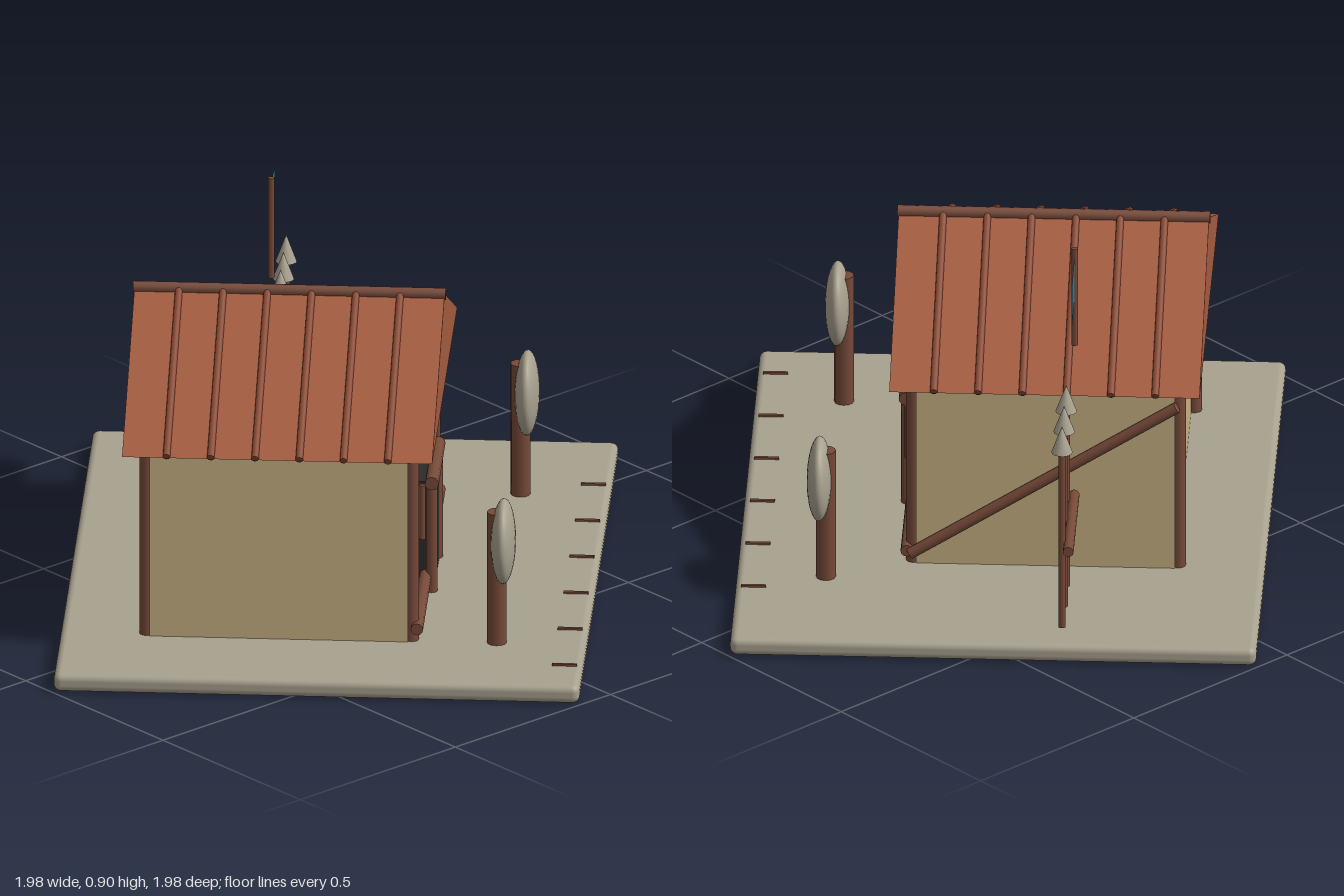
import * as THREE from 'three';
import { RoundedBoxGeometry } from 'three/addons/geometries/RoundedBoxGeometry.js';

export function createModel() {
  const mat = (name, color, extra = {}) => {
    const m = new THREE.MeshStandardMaterial({ color, ...extra });
    m.name = name;
    return m;
  };
  const stone = mat('stone', 0xa8a18f);
  const plaster = mat('plaster', 0xc8b183);
  const wood = mat('wood', 0x774a39);
  const tile = mat('roof tile', 0xa35a3e);
  const batten = mat('roof batten', 0x8a4a34);
  const dark = mat('dark opening', 0x2b2b2b);
  const cloth = mat('flag cloth', 0x35758a, { side: THREE.DoubleSide });

  const model = new THREE.Group();
  model.name = 'cottage';
  // The whole plot is turned an eighth of a circle
  const plot = new THREE.Group();
  plot.name = 'plot';
  plot.rotation.y = Math.PI / 4;
  model.add(plot);

  const add = (name, geometry, material, x = 0, y = 0, z = 0) => {
    const mesh = new THREE.Mesh(geometry, material);
    mesh.name = name;
    mesh.position.set(x, y, z);
    plot.add(mesh);
    return mesh;
  };
  // Round pole between two points
  const pole = (name, a, b, r, material = wood) => {
    const from = new THREE.Vector3(...a), to = new THREE.Vector3(...b);
    const dir = to.clone().sub(from);
    const mesh = add(name, new THREE.CylinderGeometry(r, r, dir.length(), 12), material);
    mesh.position.copy(from).add(to).multiplyScalar(0.5);
    mesh.quaternion.setFromUnitVectors(new THREE.Vector3(0, 1, 0), dir.normalize());
    return mesh;
  };

  // Ground slab and walls
  const cx = -0.085, cz = -0.107;
  add('groundSlab', new RoundedBoxGeometry(1.556, 0.047, 1.272, 3, 0.018), stone, 0, 0.0255, 0);
  add('walls', new THREE.BoxGeometry(0.87, 0.485, 0.625), plaster, cx, 0.29, cz);

  // Corner posts
  for (const sx of [-1, 1]) for (const sz of [-1, 1]) {
    const x = cx + sx * 0.415, z = cz + sz * 0.32;
    pole('cornerPost', [x, 0.048, z], [x, 0.55, z], 0.018);
  }

  // Gabled roof with battens running down both slopes
  const halfSpan = 0.495, roofLength = 0.75, eaveY = 0.54, ridgeY = 0.78;
  const gable = new THREE.Shape([
    new THREE.Vector2(-halfSpan, eaveY),
    new THREE.Vector2(halfSpan, eaveY),
    new THREE.Vector2(0, ridgeY),
  ]);
  add('roof', new THREE.ExtrudeGeometry(gable, { depth: roofLength, bevelEnabled: false }),
    tile, cx, 0, cz - roofLength / 2);
  for (const side of [-1, 1]) for (let i = 0; i < 6; i++) {
    const z = cz + (i - 2.5) * 0.107;
    pole('roofBatten', [cx, ridgeY + 0.003, z], [cx + side * halfSpan, eaveY + 0.003, z], 0.009, batten);
  }
  pole('ridgeBeam', [cx, 0.78, cz - 0.378], [cx, 0.78, cz + 0.378], 0.015);

  // Front sill beam and side brace
  pole('sillBeam', [-0.53, 0.086, 0.228], [0.36, 0.086, 0.228], 0.015);
  pole('sideBrace', [0.362, 0.08, 0.22], [0.362, 0.49, -0.425], 0.014);

  // Door and its frame
  add('door', new THREE.BoxGeometry(0.2, 0.28, 0.05), dark, cx, 0.19, 0.224);
  for (const side of [-1, 1]) {
    const x = cx + side * 0.108;
    pole('doorPost', [x, 0.048, 0.243], [x, 0.34, 0.243], 0.014);
  }
  pole('doorLintel', [cx - 0.13, 0.337, 0.245], [cx + 0.13, 0.337, 0.245], 0.017);

  // Windows with a single upright bar, and the two garden trees
  for (const side of [-1, 1]) {
    const x = cx + side * 0.29;
    add('window', new RoundedBoxGeometry(0.085, 0.105, 0.03, 2, 0.008), dark, x, 0.327, 0.208);
    pole('windowBar', [x, 0.26, 0.232], [x, 0.4, 0.232], 0.008);

    const tx = -0.038 + side * 0.469;
    pole('treeTrunk', [tx, 0.045, 0.42], [tx, 0.39, 0.42], 0.024);
    const crown = add('treeCrown', new THREE.SphereGeometry(1, 28, 18), stone, tx, 0.313, 0.436);
    crown.scale.set(0.092, 0.106, 0.03);
  }

  // Spiked fence beside the house
  for (let i = 0; i < 3; i++) {
    const x = 0.475 + i * 0.11;
    pole('fenceStake', [x, 0.06, -0.163], [x, 0.54, -0.163], 0.009);
    add('stakeTip', new THREE.ConeGeometry(0.026, 0.07, 14), stone, x, 0.567, -0.163);
  }
  pole('fenceRail', [0.43, 0.284, -0.18], [0.74, 0.284, -0.18], 0.013);

  // Flag
  pole('flagPole', [0.332, 0.64, -0.177], [0.332, 0.9, -0.177], 0.008);
  const flag = new THREE.Shape([
    new THREE.Vector2(0, 0.772),
    new THREE.Vector2(0.135, 0.758),
    new THREE.Vector2(0.148, 0.87),
    new THREE.Vector2(0, 0.89),
  ]);
  add('flag', new THREE.ShapeGeometry(flag), cloth, 0.334, 0, -0.177);

  // Small wooden markers along the front edge
  for (let i = 0; i < 6; i++) {
    add('edgeMarker', new THREE.BoxGeometry(0.008, 0.008, 0.06), wood, -0.645 + i * 0.228, 0.05, 0.592);
  }
  return model;
}
